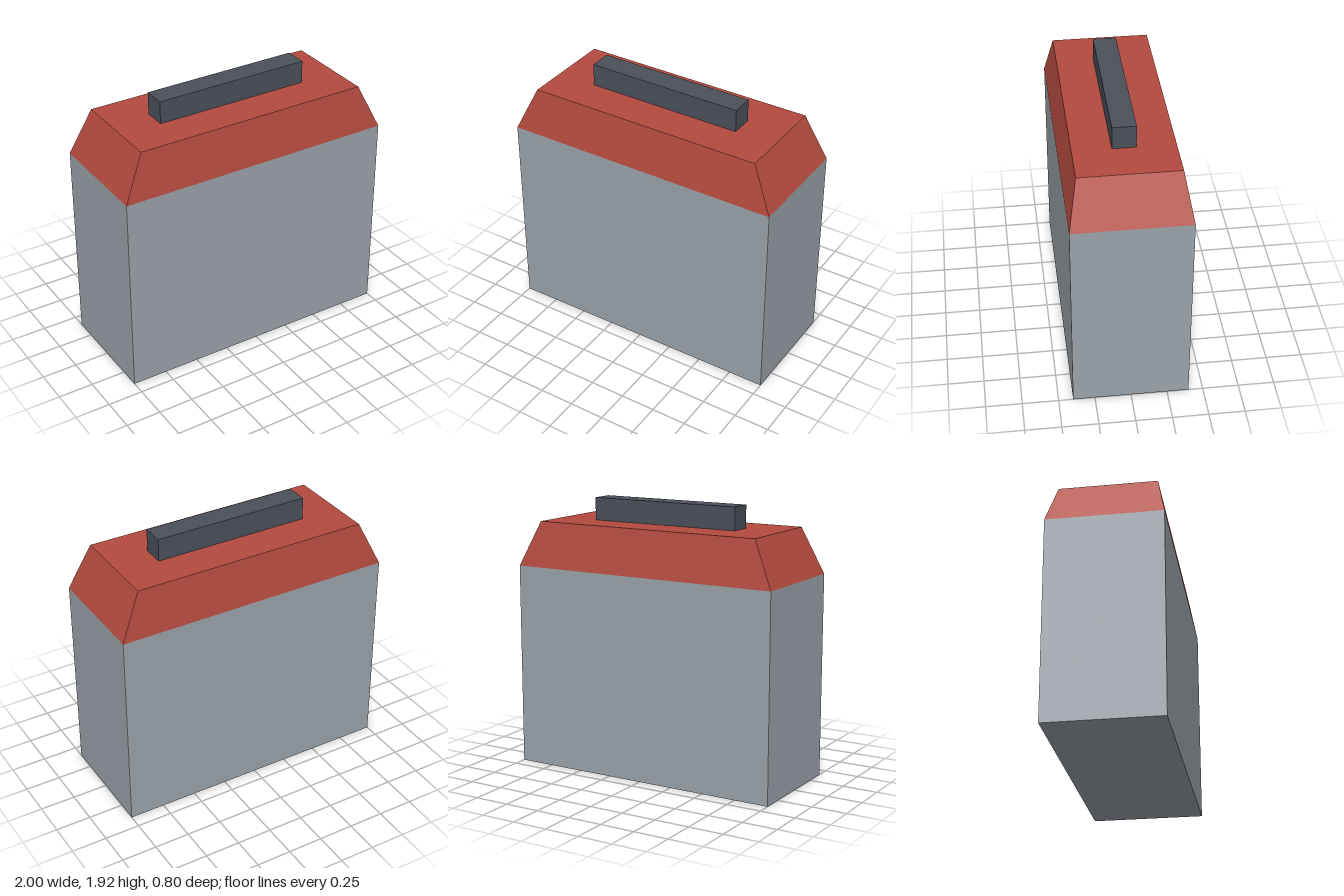
import * as THREE from 'three';

const material = (name, color) => {
  const m = new THREE.MeshStandardMaterial({ color });
  m.name = name;
  return m;
};

// Box standing on y = base, its top face scaled by taperX and taperZ
function block(name, mat, [w, h, d], base, taperX = 1, taperZ = 1) {
  const geo = new THREE.BoxGeometry(w, h, d);
  const pos = geo.attributes.position;
  for (let i = 0; i < pos.count; i++) {
    if (pos.getY(i) > 0) {
      pos.setX(i, pos.getX(i) * taperX);
      pos.setZ(i, pos.getZ(i) * taperZ);
    }
  }
  geo.translate(0, base + h / 2, 0);
  geo.computeVertexNormals();
  const mesh = new THREE.Mesh(geo, mat);
  mesh.name = name;
  return mesh;
}

export function createModel() {
  const group = new THREE.Group();
  group.name = 'canister';
  const grey = material('body grey', 0x9aa2a9);
  const red = material('lid red', 0xb34a3e);
  const dark = material('handle charcoal', 0x4a4f59);

  group.add(
    block('body', grey, [2, 1.44, 0.8], 0),
    // Sloped shoulders narrowing to a flat top
    block('lid', red, [2, 0.32, 0.8], 1.44, 0.85, 0.85),
    block('handle', dark, [1.12, 0.16, 0.16], 1.76),
  );
  return group;
}
